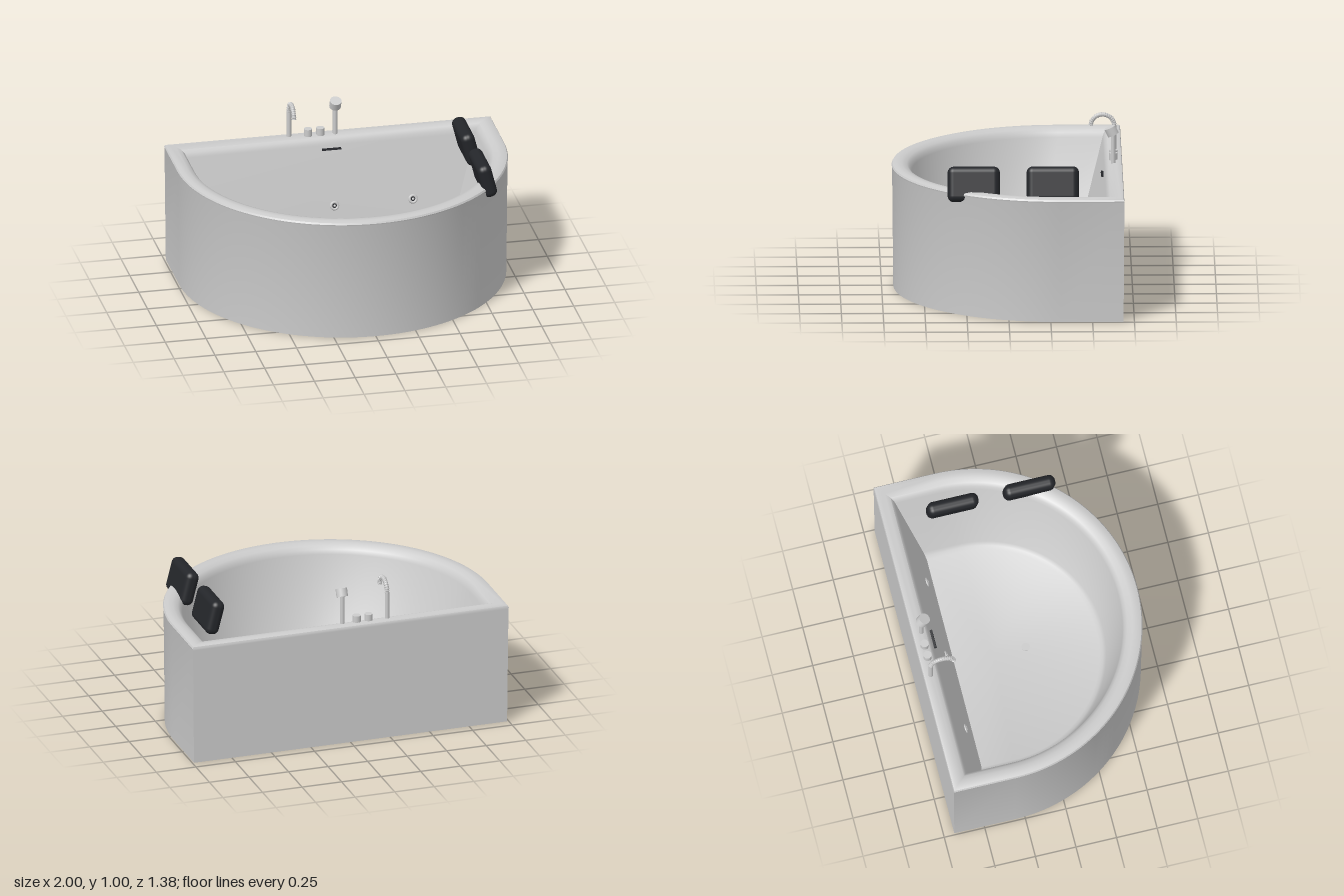
import * as THREE from 'three';
import { toCreasedNormals } from 'three/addons/utils/BufferGeometryUtils.js';
import { RoundedBoxGeometry } from 'three/addons/geometries/RoundedBoxGeometry.js';

const grey = new THREE.MeshStandardMaterial({ color: 0xcccccc });
const dark = new THREE.MeshStandardMaterial({ color: 0x24262a });

function add(parent, name, geometry, material, x = 0, y = 0, z = 0) {
  const mesh = new THREE.Mesh(geometry, material);
  mesh.name = name;
  mesh.position.set(x, y, z);
  parent.add(mesh);
  return mesh;
}

// D-shaped loop: straight back, straight sides, semicircular front
function dLoop([halfWidth, front, back, y], steps = 72) {
  const cz = front - halfWidth;
  const points = [[halfWidth, y, back]];
  for (let i = 0; i <= steps; i++) {
    const a = (i / steps) * Math.PI;
    points.push([halfWidth * Math.cos(a), y, cz + halfWidth * Math.sin(a)]);
  }
  points.push([-halfWidth, y, back]);
  return points;
}

// Skin the loops in order, closing the first (underside) and last (floor)
function tubGeometry(rings) {
  const loops = rings.map((r) => dLoop(r));
  const n = loops[0].length;
  const positions = loops.flat(2);
  const index = [];
  const bottom = n * loops.length, floor = bottom + 1, last = n * (loops.length - 1);
  positions.push(0, rings[0][3], -0.2, 0, rings[rings.length - 1][3], -0.2);
  for (let j = 0; j < n; j++) {
    const k = (j + 1) % n;
    for (let i = 0; i < loops.length - 1; i++) {
      const a = i * n + j, b = i * n + k, c = a + n, d = b + n;
      index.push(a, c, b, b, c, d);
    }
    index.push(bottom, j, k, floor, last + k, last + j);
  }
  const g = new THREE.BufferGeometry();
  g.setAttribute('position', new THREE.Float32BufferAttribute(positions, 3));
  g.setIndex(index);
  return toCreasedNormals(g, 0.65);
}

export function createModel() {
  const model = new THREE.Group();
  model.name = 'bathtub';

  // Tub shell: half width, front z, back z, height
  add(model, 'tub', tubGeometry([
    [0.99, 0.68, -0.685, 0],
    [0.997, 0.687, -0.69, 0.73],
    [1, 0.69, -0.69, 0.74],
    [0.994, 0.684, -0.686, 0.75],
    [0.972, 0.662, -0.667, 0.757],
    [0.94, 0.63, -0.635, 0.756],
    [0.912, 0.598, -0.607, 0.745],
    [0.895, 0.58, -0.592, 0.727],
    [0.885, 0.57, -0.583, 0.7],
    [0.72, 0.475, -0.452, 0.2],
    [0.703, 0.455, -0.445, 0.175],
    [0.68, 0.435, -0.44, 0.165],
  ]), grey);

  add(model, 'drain', new THREE.CylinderGeometry(0.025, 0.025, 0.006, 24), grey, 0, 0.166, 0);

  // Water jets and overflow slot on the sloping back wall
  for (const x of [-0.48, 0, 0.48]) {
    const jet = new THREE.Group();
    jet.name = 'jet';
    jet.position.set(x, 0.345, -0.488);
    jet.rotation.x = -0.256;
    add(jet, 'jetRing', new THREE.TorusGeometry(0.021, 0.008, 10, 28), grey);
    add(jet, 'jetHole', new THREE.CircleGeometry(0.017, 24), dark, 0, 0, 0.002);
    add(jet, 'jetNozzle', new THREE.SphereGeometry(0.008, 12, 8), grey, 0, 0, 0.003);
    model.add(jet);
  }
  const slot = add(model, 'overflowSlot', new THREE.BoxGeometry(0.115, 0.012, 0.014), dark, 0, 0.68, -0.57);
  slot.rotation.x = -0.256;

  // Spout: post, bent neck and ribs
  const spout = new THREE.Group();
  spout.name = 'spout';
  spout.position.set(-0.245, 0, -0.645);
  add(spout, 'spoutPost', new THREE.CylinderGeometry(0.014, 0.014, 0.175, 20), grey, 0, 0.8375, 0);
  const bend = [];
  for (let i = 0; i <= 12; i++) {
    const a = Math.PI * (1 - i / 12 * 0.97);
    bend.push(new THREE.Vector3(0, 0.92 + 0.068 * Math.sin(a), 0.07 + 0.07 * Math.cos(a)));
  }
  const neck = new THREE.CatmullRomCurve3(bend);
  add(spout, 'spoutNeck', new THREE.TubeGeometry(neck, 40, 0.0125, 16), grey);
  for (let i = 0; i <= 18; i++) {
    const t = i / 18;
    const rib = add(spout, 'spoutRib', new THREE.TorusGeometry(0.0115, 0.0035, 6, 16), grey);
    rib.position.copy(neck.getPointAt(t));
    rib.quaternion.setFromUnitVectors(new THREE.Vector3(0, 0, 1), neck.getTangentAt(t));
  }
  add(spout, 'spoutOutlet', new THREE.CircleGeometry(0.0125, 16), grey, 0, bend[12].y, bend[12].z).rotation.x = Math.PI / 2;
  model.add(spout);

  // Tap knobs
  for (const x of [-0.13, -0.055]) {
    add(model, 'tapKnob', new THREE.CylinderGeometry(0.025, 0.025, 0.045, 28), grey, x, 0.7745, -0.637);
  }

  // Hand shower
  add(model, 'showerPost', new THREE.CylinderGeometry(0.014, 0.014, 0.19, 20), grey, 0.035, 0.845, -0.635);
  const head = add(model, 'showerHead', new THREE.CylinderGeometry(0.035, 0.035, 0.05, 28), grey, 0.035, 0.951, -0.625);
  head.rotation.x = 0.43;

  // Head cushions leaning over the left rim
  for (const z of [-0.265, 0.208]) {
    const cushion = add(model, 'headCushion', new RoundedBoxGeometry(0.085, 0.212, 0.313, 6, 0.037), dark, 0.757, 0.793, z);
    cushion.rotation.z = 0.25;
  }

  return model;
}
